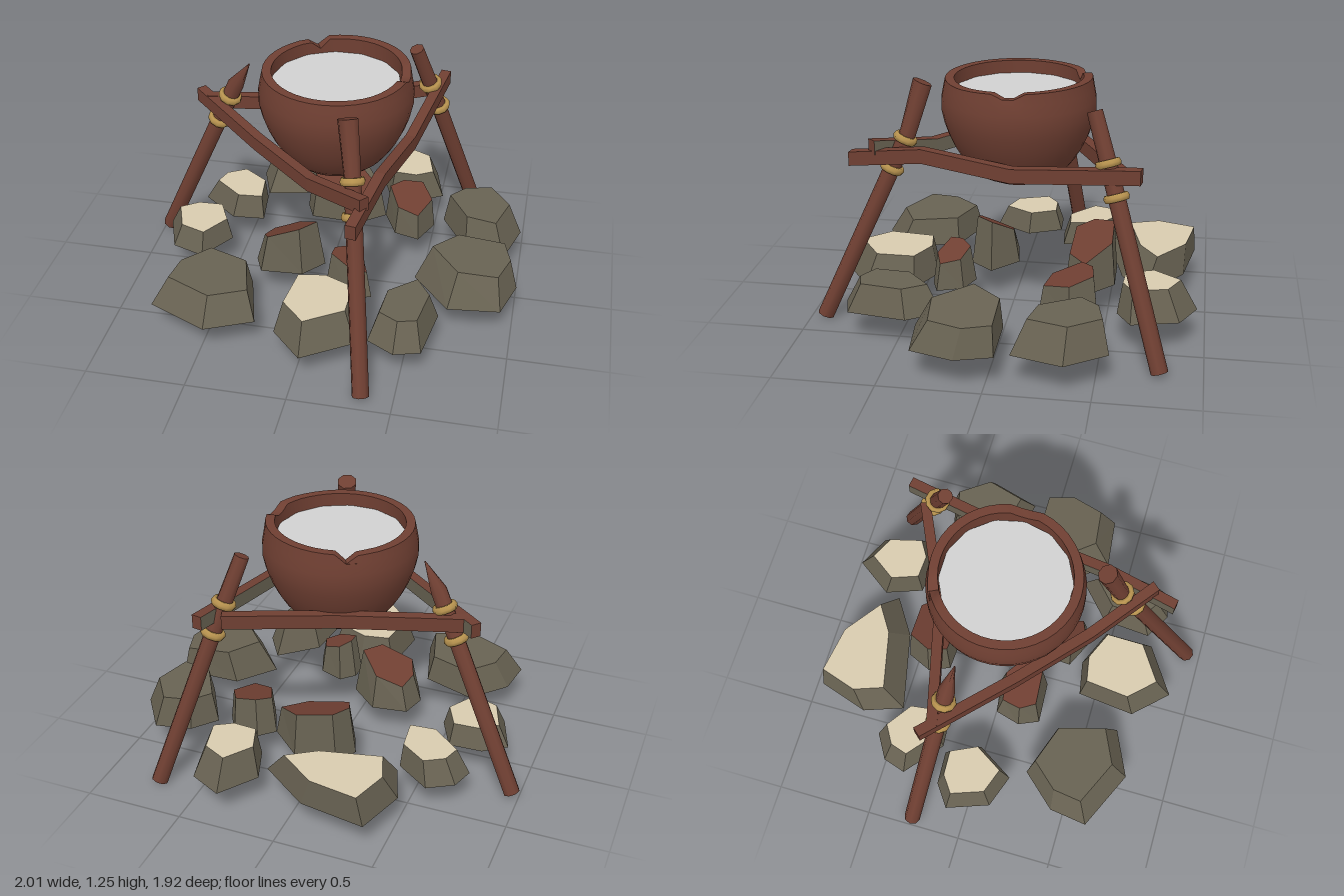
import * as THREE from 'three';
import { toCreasedNormals } from 'three/addons/utils/BufferGeometryUtils.js';

const V = (x, y, z) => new THREE.Vector3(x, y, z);
const mat = (name, color, side = THREE.FrontSide) => {
  const m = new THREE.MeshStandardMaterial({ color, side });
  m.name = name;
  return m;
};

// Joins equal-sized rings of points into a faceted solid; the first cap can be left open.
// sideMat(k) and endMat pick the material slot of side k and of the last cap.
function loft(rings, sideMat = () => 0, endMat = 0, open = false) {
  const slots = [[], []];
  const n = rings[0].length, last = rings[rings.length - 1];
  for (let i = 0; i + 1 < rings.length; i++) {
    for (let k = 0; k < n; k++) {
      const a = rings[i][k], b = rings[i][(k + 1) % n];
      const c = rings[i + 1][(k + 1) % n], d = rings[i + 1][k];
      slots[sideMat(k)].push([a, b, c], [a, c, d]);
    }
  }
  for (let k = 1; k + 1 < n; k++) {
    if (!open) slots[0].push([rings[0][0], rings[0][k + 1], rings[0][k]]);
    slots[endMat].push([last[0], last[k], last[k + 1]]);
  }
  // turn the faces outward whatever the ring direction
  const all = slots.flat();
  const o = rings[0][0];
  const volume = all.reduce((s, [a, b, c]) =>
    s + a.clone().sub(o).dot(b.clone().sub(o).cross(c.clone().sub(o))), 0);
  const pos = [];
  for (const [a, b, c] of all)
    for (const p of volume < 0 ? [a, c, b] : [a, b, c]) pos.push(p.x, p.y, p.z);
  const g = new THREE.BufferGeometry();
  g.setAttribute('position', new THREE.Float32BufferAttribute(pos, 3));
  g.addGroup(0, slots[0].length * 3, 0);
  g.addGroup(slots[0].length * 3, slots[1].length * 3, 1);
  g.computeVertexNormals();
  return g;
}

export function createModel() {
  const model = new THREE.Group();
  const wood = mat('reddish brown', 0x6f3f32, THREE.DoubleSide);
  const stone = mat('dark stone', 0x686252, THREE.DoubleSide);
  const pale = mat('pale stone', 0xd8cbae, THREE.DoubleSide);
  const rope = mat('rope gold', 0xb8934f);
  const broth = mat('grey broth', 0xd0d0d0);
  const add = (name, geometry, material, parent = model) => {
    const m = new THREE.Mesh(geometry, material);
    m.name = name;
    parent.add(m);
    return m;
  };
  const group = name => {
    const g = new THREE.Group();
    g.name = name;
    model.add(g);
    return g;
  };

  // Pot: lathed bowl with a thick, slightly uneven rim and two chips
  const P = (x, y) => new THREE.Vector2(x, y);
  const outside = new THREE.SplineCurve(
    [P(0, 0.68), P(0.2, 0.745), P(0.32, 0.89), P(0.385, 1.08), P(0.365, 1.235)]).getPoints(12);
  const bowl = new THREE.LatheGeometry([...outside, P(0.32, 1.235), P(0.32, 1.12)], 42);
  const bp = bowl.attributes.position;
  for (let i = 0; i < bp.count; i++) {
    const x = bp.getX(i), y = bp.getY(i), z = bp.getZ(i);
    if (y < 1.23) continue;
    const angle = Math.atan2(z, x);
    const chip = Math.max(0, 1 - Math.abs(angle) / 0.13, 1 - Math.abs(angle + 2.05) / 0.13);
    bp.setY(i, y + 0.03 * Math.max(0, x - z) - 0.06 * chip);
  }
  const pot = group('pot');
  pot.position.set(0.035, 0, -0.03);
  add('bowl', toCreasedNormals(bowl, 0.7), wood, pot);
  const surface = add('broth', new THREE.CircleGeometry(0.322, 14), broth, pot);
  surface.rotation.x = -Math.PI / 2;
  surface.position.y = 1.17;

  // Tripod poles, slightly bent, each with two flat rope lashings at the joint
  const addPole = (name, tipRadius, ...path) => {
    const pole = group(name);
    const dir = path[2].clone().sub(path[0]).normalize();
    const u = dir.clone().cross(V(0, 0, 1)).normalize();
    const w = dir.clone().cross(u);
    const rings = path.map((c, i) => Array.from({ length: 8 }, (_, k) => {
      const a = k * Math.PI / 4, r = i === 2 ? tipRadius : 0.042;
      return c.clone().addScaledVector(u, Math.cos(a) * r).addScaledVector(w, Math.sin(a) * r);
    }));
    add('shaft', toCreasedNormals(loft(rings), 0.9), wood, pole);
    const axis = path[1].clone().sub(path[0]).normalize();
    for (const y of [0.8, 0.95]) {
      const ring = add('lashing', new THREE.TorusGeometry(0.049, 0.014, 6, 10), rope, pole);
      ring.scale.z = 1.5;
      ring.position.copy(path[0]).addScaledVector(axis, (y - path[0].y) / axis.y);
      ring.quaternion.setFromUnitVectors(V(0, 0, 1), axis);
    }
  };
  addPole('frontPole', 0.05, V(0.345, 0.02, 0.925), V(0.215, 0.98, 0.495), V(0.178, 1.23, 0.425));
  addPole('pointedPole', 0.003, V(-0.965, 0.03, -0.265), V(-0.515, 1.03, -0.16), V(-0.435, 1.16, -0.14));
  addPole('backPole', 0.038, V(0.715, 0.02, -0.795), V(0.46, 0.9, -0.525), V(0.375, 1.18, -0.435));

  // Crossbars: bent rectangular beams, grey from the given side on (2 inner, 3 lower)
  const addBar = (name, greyFrom, ...path) => {
    const side = path[path.length - 1].clone().sub(path[0]).setY(0).normalize().cross(V(0, 1, 0));
    if (side.dot(path[1]) < 0) side.negate();
    const rings = path.map(c => [[1, -1], [1, 1], [-1, 1], [-1, -1]].map(([s, h]) =>
      c.clone().addScaledVector(side, s * 0.026).add(V(0, h * 0.036, 0))));
    add(name, loft(rings, k => (k >= greyFrom ? 1 : 0)), [wood, stone]);
  };
  addBar('frontBar', 2, V(-0.73, 0.905, -0.25), V(-0.33, 0.865, 0.12), V(0, 0.85, 0.41), V(0.3, 0.925, 0.66));
  addBar('leftBar', 2, V(0.26, 0.85, 0.78), V(0.33, 0.905, 0.4), V(0.41, 0.855, -0.05), V(0.51, 0.915, -0.67));
  addBar('backBar', 3, V(0.43, 0.89, -0.57), V(-0.07, 0.875, -0.34), V(-0.68, 0.9, -0.19));

  // Rocks: one wedge-shaped footprint, scaled, turned and narrowed toward its tip,
  // under a smaller top that may lean sideways and slope
  const footprint = [[1, 0], [0.45, 0.9], [-0.75, 1], [-1, 0.2], [-0.8, -0.8], [0.2, -1]];
  const fireRing = group('fireRing');
  const addRock = (topMat, x, z, length, width, turn, height,
    { taper = 0, lean = [0, 0], slope = [0, 0], shrink = 0.76 } = {}) => {
    const ring = (scale, pick) => footprint.map(([u, v]) => pick(
      V(u * length * scale, 0, v * (1 - taper * u) * width * scale).applyAxisAngle(V(0, 1, 0), -turn)));
    const base = ring(1, p => V(x + p.x, 0.167, z + p.z));
    const top = ring(shrink, p =>
      V(x + p.x + lean[0], height + slope[0] * p.x + slope[1] * p.z, z + p.z + lean[1]));
    add('rock', loft([base, top], () => 0, 1, true), [stone, topMat], fireRing);
  };
  // back half of the ring
  addRock(pale, -0.17, -0.71, 0.335, 0.19, 0.06, 0.32, { taper: 0.45, lean: [-0.03, -0.05], shrink: 0.74 });
  addRock(pale, 0.345, -0.76, 0.2, 0.165, -1.75, 0.32, { lean: [-0.01, 0.03], shrink: 0.72 });
  addRock(stone, 0.81, -0.33, 0.24, 0.18, 1.1, 0.33, { lean: [-0.03, -0.02] });
  addRock(pale, -0.56, -0.36, 0.21, 0.14, 0.75, 0.29, { lean: [0.02, 0] });
  // front half of the ring
  addRock(stone, 0.745, 0.16, 0.26, 0.22, 3.2, 0.33, { lean: [0.02, -0.04], slope: [-0.1, 0] });
  addRock(stone, 0.49, 0.52, 0.25, 0.15, -1.37, 0.31, { shrink: 0.7 });
  addRock(pale, 0.08, 0.64, 0.25, 0.21, 1.75, 0.32, { lean: [-0.01, -0.03] });
  addRock(stone, -0.48, 0.53, 0.28, 0.23, 0.5, 0.31, { lean: [0.01, -0.03] });
  addRock(pale, -0.695, 0, 0.19, 0.165, 1.3, 0.28, { lean: [0.01, -0.01] });
  // scorched rocks under the pot
  addRock(wood, 0.03, -0.41, 0.22, 0.13, 0.1, 0.38, { slope: [-0.25, -0.25], shrink: 0.85 });
  addRock(wood, 0.4, -0.33, 0.15, 0.12, 1.2, 0.34, { slope: [-0.1, -0.25], shrink: 0.85 });
  addRock(wood, 0.18, 0.29, 0.13, 0.09, 0.5, 0.34, { slope: [-0.4, 0] });
  addRock(wood, -0.17, 0.12, 0.18, 0.13, 0, 0.37, { slope: [0.4, 0.35] });
  return model;
}
